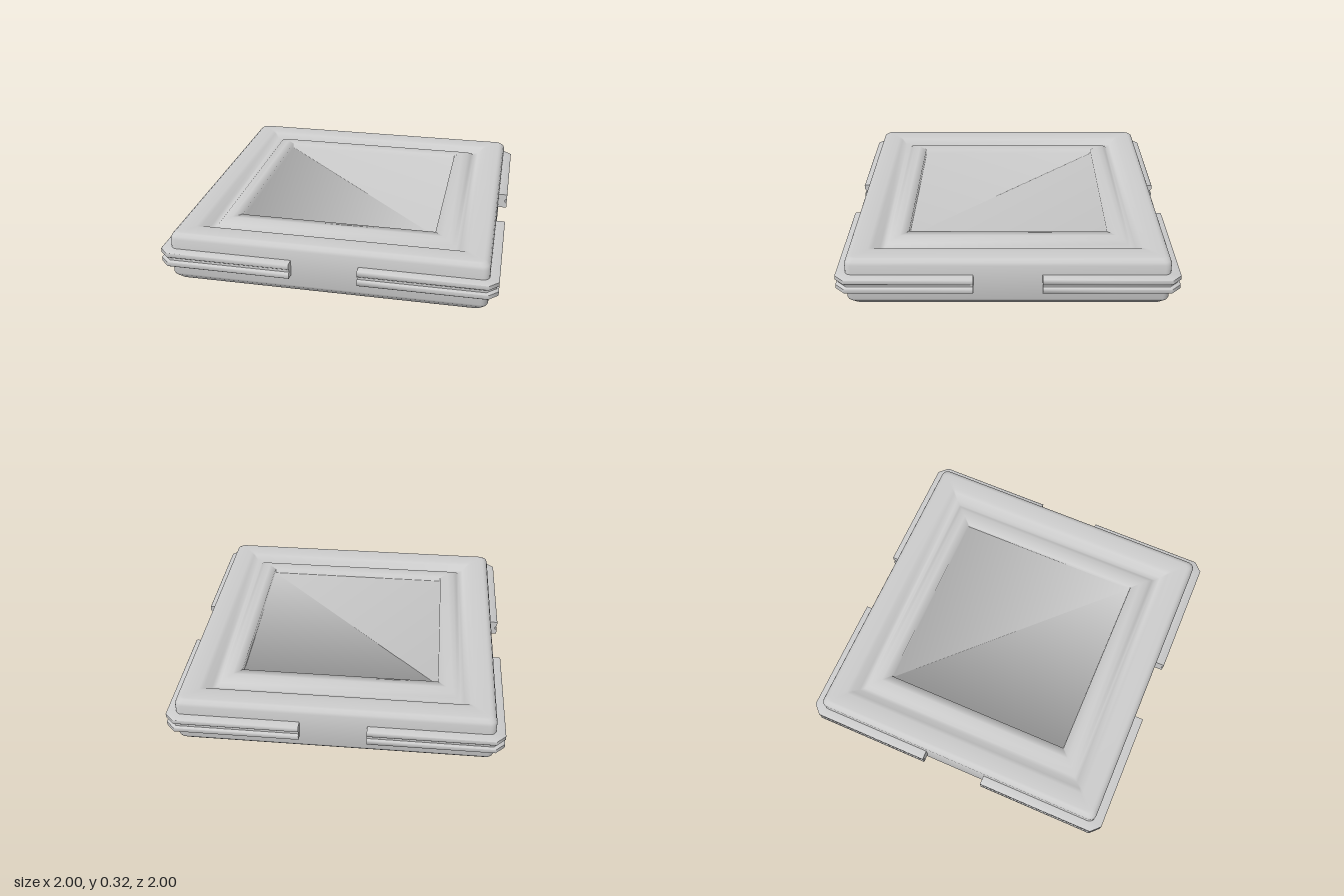
import * as THREE from 'three';
import { toCreasedNormals } from 'three/addons/utils/BufferGeometryUtils.js';

const material = new THREE.MeshStandardMaterial({ color: 0xcccccc });

// Skin a row of closed loops (arrays of Vector3) and cap both ends
function loft(sections, crease) {
  const n = sections[0].length, end = (sections.length - 1) * n;
  const index = [];
  for (let i = 0; i < end; i += n) {
    for (let j = 0; j < n; j++) {
      const a = i + j, b = i + (j + 1) % n;
      index.push(a, a + n, b, b, a + n, b + n);
    }
  }
  for (let j = 1; j < n - 1; j++) {
    index.push(0, j, j + 1, end, end + j + 1, end + j);
  }
  const geometry = new THREE.BufferGeometry().setFromPoints(sections.flat());
  geometry.setIndex(index);
  return toCreasedNormals(geometry, crease);
}

// Horizontal square loop with rounded corners
function squareRing(half, y, radius) {
  const ring = [], steps = 5;
  for (let k = 0; k < 4; k++) {
    const mid = Math.PI / 4 + k * Math.PI / 2;
    const cx = Math.sign(Math.cos(mid)) * (half - radius);
    const cz = Math.sign(Math.sin(mid)) * (half - radius);
    for (let i = 0; i <= steps; i++) {
      const a = (k + i / steps) * Math.PI / 2;
      ring.push(new THREE.Vector3(cx + radius * Math.cos(a), y, cz + radius * Math.sin(a)));
    }
  }
  return ring;
}

export function createModel() {
  const model = new THREE.Group();

  // Tray body: [half width, height, corner radius], bottom up and over into the recess
  const bodyProfile = [
    [0.89, 0, 0.02], [0.905, 0.01, 0.025], [0.94, 0.045, 0.04], [0.945, 0.06, 0.04],
    [0.945, 0.285, 0.04], [0.938, 0.303, 0.04], [0.92, 0.318, 0.035], [0.905, 0.32, 0.03],
    // raised rim and groove
    [0.82, 0.32, 0.015], [0.795, 0.313, 0.01], [0.76, 0.283, 0.005], [0.735, 0.275, 0.004],
    // rounded inner lip and shallow sunken floor
    [0.715, 0.295, 0.004], [0.69, 0.312, 0.004], [0.65, 0.318, 0.004], [0.60, 0.316, 0.003],
    [0.60, 0.285, 0.003],
  ];
  const body = new THREE.Mesh(loft(bodyProfile.map((p) => squareRing(...p)), 1.6), material);
  body.name = 'trayBody';
  model.add(body);

  // Corner guard cross-section: [distance from centre, height], two ribs with a groove
  const guardProfile = [
    [0.93, 0.13], [0.994, 0.13], [1, 0.135], [1, 0.16], [0.995, 0.165], [0.987, 0.17],
    [0.987, 0.185], [0.995, 0.19], [1, 0.195], [1, 0.22], [0.994, 0.225], [0.93, 0.225],
  ];
  const start = 0.2, chamfer = 0.055;
  const stations = [
    (d) => [start, d],
    (d) => [d - chamfer, d],
    (d) => [d, d - chamfer],
    (d) => [d, start],
  ];
  const guardGeometry = loft(stations.map((at) => guardProfile.map(([d, y]) => {
    const [x, z] = at(d);
    return new THREE.Vector3(x, y, z);
  })), 0.9);

  // One guard wrapped round each corner
  const names = ['frontLeft', 'backLeft', 'backRight', 'frontRight'];
  names.forEach((name, k) => {
    const guard = new THREE.Mesh(guardGeometry, material);
    guard.name = name + 'CornerGuard';
    guard.rotation.y = k * Math.PI / 2;
    model.add(guard);
  });

  return model;
}
